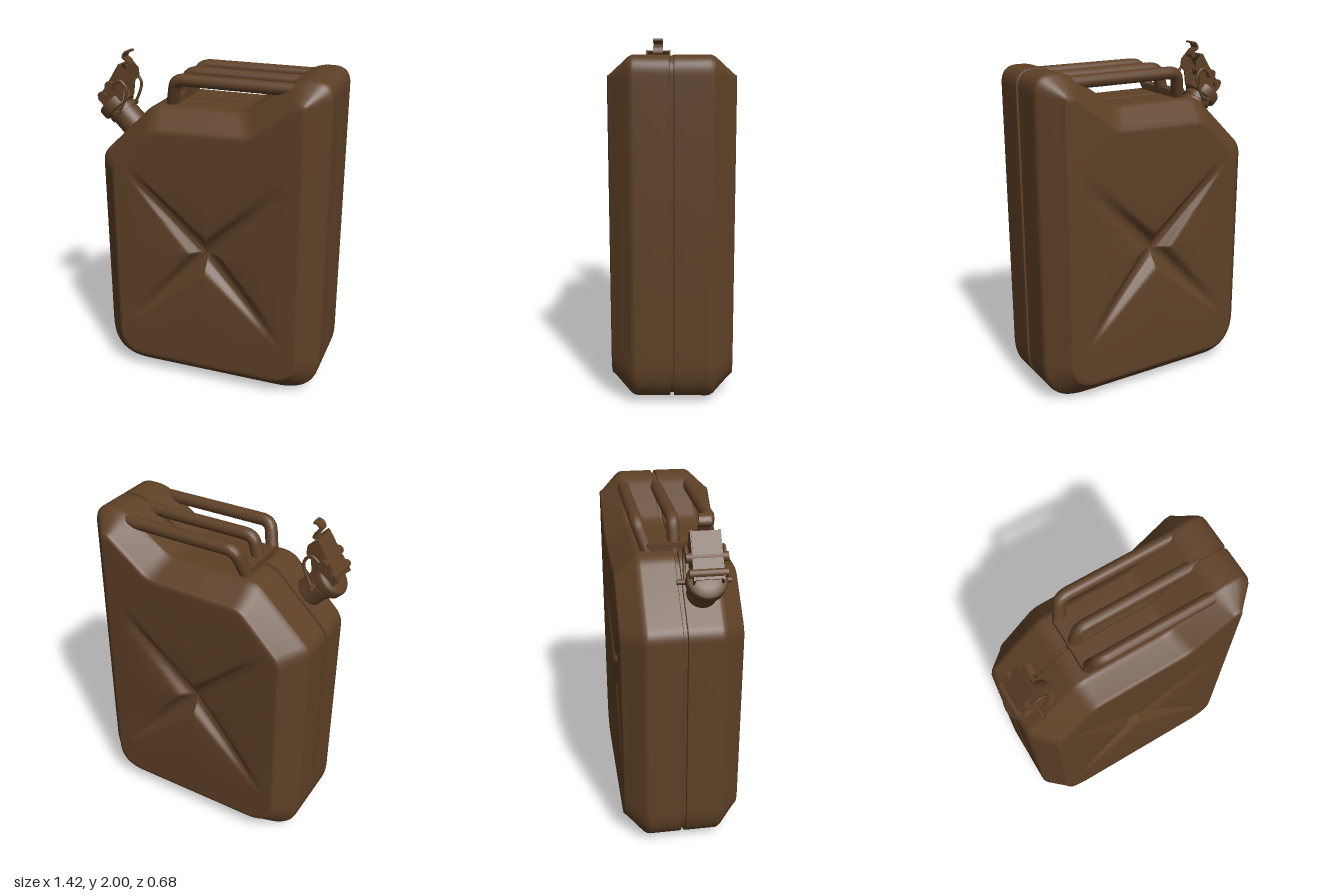
import * as THREE from 'three';

const CX = 0.025, CY = 0.86; // centre of the pressed cross

// Control corners: x, y, cut-back of the rounded corner
const OUTER = [[-0.66, 0, 0.25], [0.72, 0, 0.25], [0.72, 1.93, 0.1], [0.53, 1.93, 0.07],
  [0.23, 1.72, 0.05], [-0.32, 1.72, 0.06], [-0.66, 1.39, 0.05]];
const INNER = [[-0.54, 0.11, 0.17], [0.6, 0.11, 0.17], [0.6, 1.82, 0.02], [0.56, 1.82, 0.015],
  [0.3, 1.615, 0.05], [-0.29, 1.6, 0.05], [-0.54, 1.34, 0.05]];

// Rounded polygon with the same number of points for every set of corners
function roundedLoop(corners) {
  const v = corners.map(([x, y]) => new THREE.Vector2(x, y));
  const n = v.length, loop = [];
  const toward = (i, j) => v[j].clone().sub(v[i]).setLength(corners[i][2]).add(v[i]);
  for (let i = 0; i < n; i++) {
    const next = (i + 1) % n;
    const end = toward(i, next), start = toward(next, i);
    const bend = new THREE.QuadraticBezierCurve(toward(i, (i + n - 1) % n), v[i], end);
    loop.push(...bend.getPoints(14));
    for (let k = 1; k < 24; k++) loop.push(end.clone().lerp(start, k / 24));
  }
  return loop;
}

const outer = roundedLoop(OUTER), inner = roundedLoop(INNER);
const blend = t => outer.map((p, i) => p.clone().lerp(inner[i], t));

// Depth of the pressed cross at a point of the side panel
function pressDepth(x, y, s) {
  const dx = Math.abs(x - CX), dy = Math.abs(y - CY) * 0.97;
  const along = (dx + dy) / Math.SQRT2, across = Math.abs(dx - dy) / Math.SQRT2;
  const t = Math.min(1, along / 0.68);
  const width = 0.085 - 0.055 * t;
  const groove = 0.045 * (1 - t) ** 0.7 * (1 - THREE.MathUtils.smoothstep(across, width * 0.25, width));
  const fold = 0.035 * (1 - t) * Math.exp(-across / 0.13);
  return (groove + fold) * (1 - s ** 4);
}

// Skin over a list of rings, each a list of [x, y, z]
function skin(rings, flip) {
  const n = rings[0].length, idx = [];
  for (let r = 0; r < rings.length - 1; r++) {
    for (let i = 0; i < n; i++) {
      const j = (i + 1) % n;
      const a = r * n + i, b = r * n + j, c = a + n, d = b + n;
      if (flip) idx.push(a, d, b, a, c, d);
      else idx.push(a, b, d, a, d, c);
    }
  }
  const g = new THREE.BufferGeometry();
  g.setAttribute('position', new THREE.Float32BufferAttribute(rings.flat(2), 3));
  g.setIndex(idx);
  g.computeVertexNormals();
  return g;
}

// One pressed half of the can
function shellHalf(side) {
  const profile = [[0.011, 0.14], [0.011, 0.02], [0.016, 0], [0.195, 0], [0.21, 0.02], [0.23, 0.12],
    [0.315, 0.83], [0.33, 0.94]];
  const rings = profile.map(([z, t]) => blend(t).map(p => [p.x, p.y, z * side]));
  const steps = 34;
  for (let k = 0; k <= steps; k++) {
    const s = 1 - k / steps;
    rings.push(inner.map(p => {
      const x = CX + (p.x - CX) * s, y = CY + (p.y - CY) * s;
      return [x, y, (0.34 - pressDepth(x, y, s)) * side];
    }));
  }
  return skin(rings, side < 0);
}

export function createModel() {
  const model = new THREE.Group();
  model.name = 'fuelCan';
  const paint = new THREE.MeshStandardMaterial({ color: 0x5e4026 });
  paint.name = 'brown paint';

  function add(name, geometry, parent = model, x = 0, y = 0, z = 0) {
    const mesh = new THREE.Mesh(geometry, paint);
    mesh.name = name;
    mesh.position.set(x, y, z);
    parent.add(mesh);
    return mesh;
  }

  // Body halves and the sunken seam between them
  add('frontShell', shellHalf(1));
  add('backShell', shellHalf(-1));
  add('seam', skin([-0.012, 0.012].map(z => blend(0.13).map(p => [p.x, p.y, z]))));

  // Three carrying handles, the outer two leaning inwards at the foot
  for (const side of [-1, 0, 1]) {
    const path = new THREE.CurvePath();
    const foot = new THREE.Vector3(-0.235, 1.69, side * 0.14);
    const knee = new THREE.Vector3(-0.185, 1.871, side * 0.202);
    const bendIn = knee.clone().lerp(foot, 0.25);
    const bendOut = new THREE.Vector3(-0.13, 1.871, side * 0.202);
    path.add(new THREE.LineCurve3(foot, bendIn));
    path.add(new THREE.QuadraticBezierCurve3(bendIn, knee, bendOut));
    path.add(new THREE.LineCurve3(bendOut, new THREE.Vector3(0.56, 1.871, side * 0.202)));
    add('handle', new THREE.TubeGeometry(path, 50, 0.036, 14));
  }
  add('handleFoot', new THREE.BoxGeometry(0.07, 0.05, 0.3), model, -0.225, 1.735, 0);

  // Spout, tilted along the shoulder, with its cap
  const spout = new THREE.Group();
  spout.name = 'spout';
  spout.position.set(-0.49, 1.555, 0.11);
  spout.rotation.z = Math.PI / 4;
  model.add(spout);
  const lathe = pts => new THREE.LatheGeometry(pts.map(p => new THREE.Vector2(...p)), 32);
  add('neck', new THREE.CylinderGeometry(0.08, 0.085, 0.18, 32), spout, 0, 0.06, 0);
  add('collar', new THREE.CylinderGeometry(0.09, 0.09, 0.025, 32), spout, 0, 0.105, 0);
  add('cap', lathe([[0, 0.13], [0.1, 0.13], [0.108, 0.14], [0.108, 0.185], [0.1, 0.197], [0.06, 0.21], [0, 0.21]]), spout);

  // Clamp cheeks on both sides of the cap
  const clamp = new THREE.Group();
  clamp.name = 'clamp';
  clamp.position.z = 0.11;
  model.add(clamp);
  const cheek = new THREE.Shape([[-0.69, 1.71], [-0.63, 1.65], [-0.56, 1.66], [-0.53, 1.72], [-0.52, 1.8],
    [-0.49, 1.83], [-0.495, 1.88], [-0.54, 1.925], [-0.6, 1.84]].map(p => new THREE.Vector2(...p)));
  const slab = (shape, depth) =>
    new THREE.ExtrudeGeometry(shape, { depth, bevelEnabled: false }).translate(0, 0, -depth / 2);
  for (const side of [-1, 1]) {
    add('clampCheek', slab(cheek, 0.01), clamp, 0, 0, side * 0.075);
    // Wire bail reaching down to the neck
    const wire = new THREE.CatmullRomCurve3([[-0.6, 1.79], [-0.53, 1.835], [-0.49, 1.79], [-0.51, 1.71], [-0.55, 1.64]]
      .map(([x, y]) => new THREE.Vector3(x, y, side * 0.1)));
    add('bail', new THREE.TubeGeometry(wire, 24, 0.009, 8), clamp);
  }

  // Pins and spacers through the cheeks
  for (const [x, y, r, len] of [[-0.6, 1.8, 0.026, 0.22], [-0.655, 1.735, 0.024, 0.2], [-0.55, 1.65, 0.014, 0.29]]) {
    add('pin', new THREE.CylinderGeometry(r, r, len, 16).rotateX(Math.PI / 2), clamp, x, y, 0);
  }

  // Lever plate joining the cheeks, and the curled thumb tab
  const lever = add('leverPlate', new THREE.BoxGeometry(0.012, 0.25, 0.15), clamp, -0.612, 1.815, 0);
  lever.rotation.z = -0.57;
  const curl = new THREE.CatmullRomCurve3([[-0.53, 1.91], [-0.505, 1.905], [-0.515, 1.935], [-0.54, 1.955], [-0.525, 1.985], [-0.497, 1.993]]
    .map(([x, y]) => new THREE.Vector3(x, y, 0))).getPoints(24);
  const edge = offset => curl.map((p, i) => {
    const d = curl[Math.min(i + 1, 24)].clone().sub(curl[Math.max(i - 1, 0)]).normalize();
    return new THREE.Vector2(p.x - d.y * offset, p.y + d.x * offset);
  });
  add('thumbTab', slab(new THREE.Shape([...edge(-0.006), ...edge(0.006).reverse()]), 0.064), clamp);

  return model;
}
